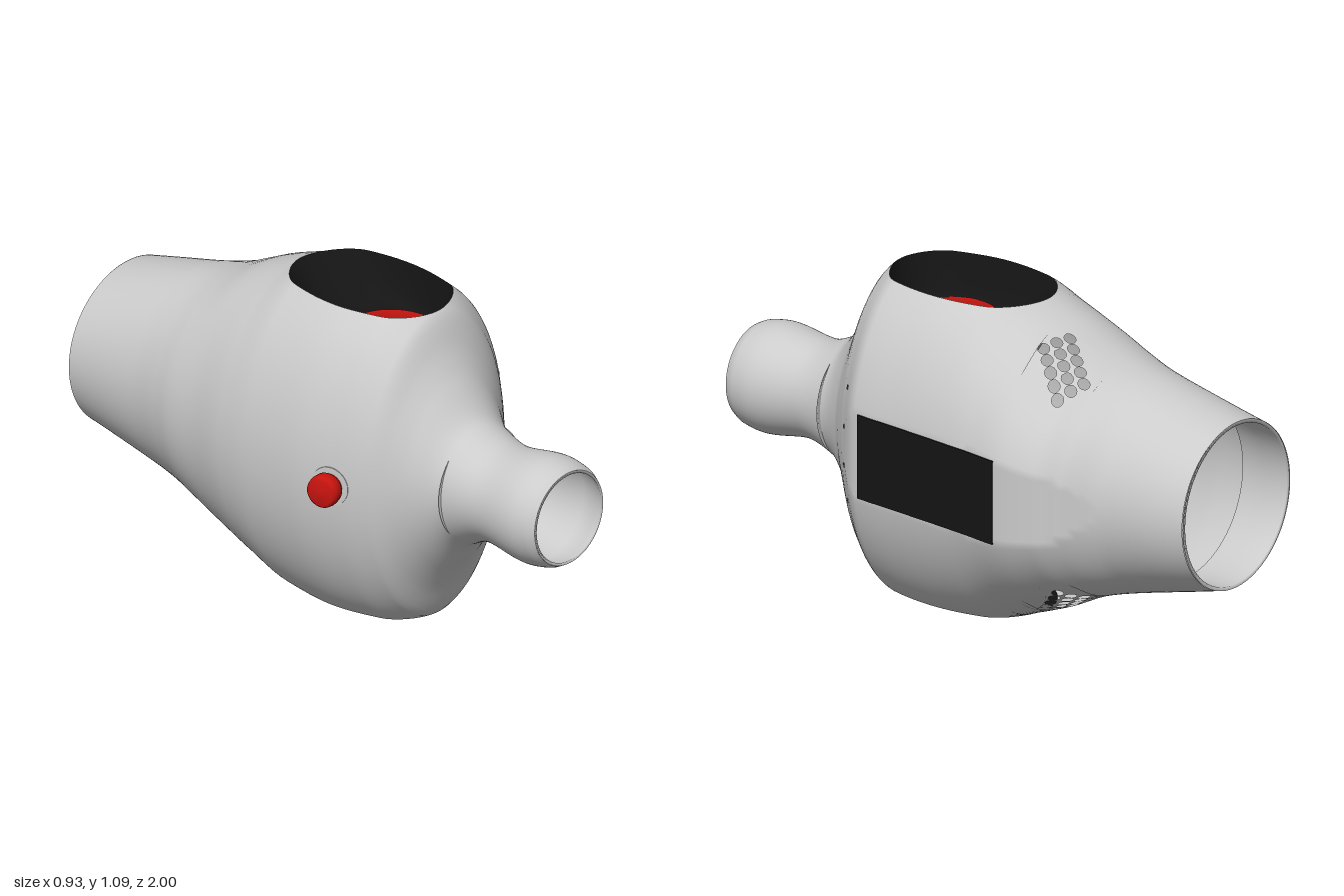
import * as THREE from 'three';

const CY = 0.547; // height of the main axis; all parts are built around y = 0
const mat = (color) => new THREE.MeshStandardMaterial({ color, side: THREE.DoubleSide });
const GREY = mat(0xcccccc), BLACK = mat(0x141414), RED = mat(0xc8140f);

// Cross-sections along the axis: z, centre x, right-hand min x, max x, half height, width factor before the flat side
const KEYS = [
  [-1, -.01, -.305, .285, .29, 1], [-.9, -.01, -.31, .305, .315, 1], [-.7, -.01, -.325, .335, .365, 1],
  [-.58, -.01, -.35, .405, .395, 1.03], [-.5, -.01, -.37, .445, .425, 1.05], [-.38, -.01, -.385, .46, .485, 1.05],
  [-.225, -.01, -.415, .44, .547, 1.04], [-.1, -.008, -.425, .425, .6, 1.03], [.1, -.008, -.42, .403, .625, 1.03],
  [.28, -.01, -.388, .383, .606, 1.03], [.385, -.016, -.353, .31, .547, 1], [.4, -.018, -.345, .295, .53, 1],
  [.45, -.027, -.31, .245, .42, 1], [.5, -.034, -.275, .195, .335, 1], [.6, -.037, -.225, .143, .215, 1],
  [.73, -.037, -.212, .13, .17, 1], [.9, -.037, -.228, .153, .19, 1], [.97, -.037, -.217, .143, .18, 1],
  [1, -.037, -.202, .128, .165, 1]];

// Monotone cubic interpolation of one column
function key(z, c) {
  z = Math.min(1, Math.max(-1, z));
  const n = KEYS.length;
  let i = 0;
  while (i < n - 2 && z > KEYS[i + 1][0]) i++;
  const d = (a) => (KEYS[a + 1][c] - KEYS[a][c]) / (KEYS[a + 1][0] - KEYS[a][0]);
  const slope = (a) => {
    if (a === 0) return d(0);
    if (a === n - 1) return d(n - 2);
    const p = d(a - 1), q = d(a);
    return p * q > 0 ? 2 * p * q / (p + q) : 0;
  };
  const h = KEYS[i + 1][0] - KEYS[i][0], t = (z - KEYS[i][0]) / h, t2 = t * t, t3 = t2 * t;
  return (2 * t3 - 3 * t2 + 1) * KEYS[i][c] + (t3 - 2 * t2 + t) * h * slope(i)
    + (3 * t2 - 2 * t3) * KEYS[i + 1][c] + (t3 - t2) * h * slope(i + 1);
}
const halfWidth = (z) => (key(z, 3) - key(z, 1)) * key(z, 5);
// Angle at which the section meets the flat cut of the finger openings
const cutAngle = (z) => Math.asin(Math.min(1, CY / key(z, 4)));

// Point on the shell
function shell(theta, z) {
  const c = Math.cos(theta), cx = key(z, 1);
  const x = c > 0 ? Math.min(cx + c * halfWidth(z), key(z, 3)) : cx + c * (cx - key(z, 2));
  return new THREE.Vector3(x, key(z, 4) * Math.sin(theta), z);
}
function shellNormal(theta, z) {
  const e = 0.004;
  const a = shell(theta + e, z).sub(shell(theta - e, z));
  const b = shell(theta, Math.min(1, z + e)).sub(shell(theta, Math.max(-1, z - e)));
  return a.cross(b).normalize();
}
// Geometry from (theta, z) pairs and faces
function onShell(params, index) {
  const pos = [], nor = [];
  for (const [th, z] of params) {
    pos.push(...shell(th, z).toArray());
    nor.push(...shellNormal(th, z).toArray());
  }
  const g = new THREE.BufferGeometry();
  g.setAttribute('position', new THREE.Float32BufferAttribute(pos, 3));
  g.setAttribute('normal', new THREE.Float32BufferAttribute(nor, 3));
  g.setIndex(index);
  return g;
}

const N = 48, VENT = { z0: -.56, z1: -.32, j0: 36, j1: 46 };
const OPEN = { mid: .08, half: .305 };

// Stations: even on neck and tail, cosine spaced along the openings
function stations() {
  const list = [];
  const span = (a, b, n) => { for (let i = 0; i < n; i++) list.push(a + (b - a) * i / n); };
  span(1, .385, 50);
  for (let i = 0; i < 40; i++) list.push(OPEN.mid + OPEN.half * Math.cos(Math.PI * i / 40));
  span(-.225, VENT.z1, 6);
  span(VENT.z1, VENT.z0, 14);
  span(VENT.z0, -1, 20);
  list.push(-1);
  return list;
}

// One side of the shell; the right side leaves two gaps for the vent patches
function shellSide(left) {
  const zs = stations(), params = [], index = [];
  zs.forEach((z, i) => {
    const m = cutAngle(z);
    for (let j = 0; j <= N; j++) params.push([(left ? Math.PI : 0) - m + 2 * m * j / N, z]);
    if (i === zs.length - 1) return;
    const inVent = z <= VENT.z1 + 1e-6 && zs[i + 1] >= VENT.z0 - 1e-6;
    for (let j = 0; j < N; j++) {
      const jj = Math.max(j, N - 1 - j);
      if (!left && inVent && jj >= VENT.j0 && jj < VENT.j1) continue;
      const a = i * (N + 1) + j, b = a + N + 1;
      index.push(a, b, a + 1, a + 1, b, b + 1);
    }
  });
  return onShell(params, index);
}

// Perforated patch, drawn flat in (theta, z) and laid on the shell
function ventPatch(sign) {
  const th = (j) => sign * (-Math.PI / 2 + Math.PI * j / N), edge = [];
  const { z0, z1, j0, j1 } = VENT, n = 14;
  for (let j = j0; j < j1; j++) edge.push(new THREE.Vector2(th(j), z0));
  for (let i = 0; i < n; i++) edge.push(new THREE.Vector2(th(j1), z0 + (z1 - z0) * i / n));
  for (let j = j1; j > j0; j--) edge.push(new THREE.Vector2(th(j), z1));
  for (let i = 0; i < n; i++) edge.push(new THREE.Vector2(th(j0), z1 + (z0 - z1) * i / n));
  const shape = new THREE.Shape(edge);
  for (let r = -1; r <= 1; r++) for (let s = -2; s <= 2; s++) {
    const hx = .185 + r * .048 - s * .026, hz = -.437 + r * .018 + s * .034, pts = [];
    for (let k = 0; k < 14; k++) {
      const a = k / 14 * Math.PI * 2, x = hx + .02 * Math.cos(a), z = hz + .02 * Math.sin(a);
      pts.push(new THREE.Vector2(sign * Math.acos((x - key(z, 1)) / halfWidth(z)), z));
    }
    shape.holes.push(new THREE.Path(pts));
  }
  const flat = new THREE.ShapeGeometry(shape), p = flat.attributes.position, params = [];
  for (let i = 0; i < p.count; i++) params.push([p.getX(i), p.getY(i)]);
  return onShell(params, Array.from(flat.index.array));
}

// Bowl from the oval rim down to the round finger hole
function funnel() {
  const M = 80, R = 8, pos = [], index = [];
  for (let r = 0; r <= R; r++) for (let i = 0; i < M; i++) {
    const s = r / R, a = i / M * Math.PI * 2, z = OPEN.mid + OPEN.half * Math.cos(a), m = cutAngle(z);
    const rim = shell(Math.sin(a) >= 0 ? m : Math.PI - m, z);
    const hole = new THREE.Vector3(.15 * Math.sin(a), 0, .165 + .15 * Math.cos(a));
    pos.push(rim.x + (hole.x - rim.x) * s, rim.y - .145 * Math.sin(s * Math.PI / 2), rim.z + (hole.z - rim.z) * s);
    if (r < R) {
      const p = r * M + i, q = r * M + (i + 1) % M;
      index.push(p, q, p + M, q, q + M, p + M);
    }
  }
  const g = new THREE.BufferGeometry();
  g.setAttribute('position', new THREE.Float32BufferAttribute(pos, 3));
  g.setIndex(index);
  g.computeVertexNormals();
  return g;
}

const lathe = (pts) => new THREE.LatheGeometry(pts.map(([r, y]) => new THREE.Vector2(r, y)), 64);

export function createModel() {
  const model = new THREE.Group(), core = new THREE.Group();
  core.position.y = CY;
  core.name = 'device';
  model.add(core);
  const add = (name, geo, material, parent = core) => {
    const m = new THREE.Mesh(geo, material);
    m.name = name;
    parent.add(m);
    return m;
  };

  // Hollow shell
  add('shellLeftSide', shellSide(false), GREY);
  add('shellRightSide', shellSide(true), GREY);
  add('upperVent', ventPatch(1), GREY);
  add('lowerVent', ventPatch(-1), GREY);

  // Linings of both open ends
  const neck = add('neckLining', lathe([[.165, 1], [.155, 1], [.172, .96], [.178, .9], [.157, .74], [.157, .68],
    [.14, .68], [.14, .6], [.2, .6]]), GREY);
  neck.rotation.x = Math.PI / 2;
  neck.position.x = -.037;
  const tail = add('tailLining', lathe([[.291, -1], [.278, -1], [.285, -.9], [.3, -.8]]), GREY);
  tail.rotation.x = Math.PI / 2;
  tail.position.x = -.01;

  // Finger openings above and below
  for (const side of [1, -1]) {
    const opening = new THREE.Group();
    opening.name = side > 0 ? 'upperOpening' : 'lowerOpening';
    opening.scale.y = side;
    core.add(opening);
    add('funnel', funnel(), BLACK, opening);
    const ring = add('holeRing', lathe([[.152, .407], [.138, .405], [.138, .345], [.152, .345], [.152, .407]]),
      side > 0 ? RED : GREY, opening);
    ring.position.z = .165;
  }

  // Screen following the flat side
  const screen = new THREE.BoxGeometry(.006, .294, .61, 1, 1, 24).translate(0, 0, -.045);
  const sp = screen.attributes.position;
  for (let i = 0; i < sp.count; i++) sp.setX(i, sp.getX(i) + key(sp.getZ(i), 3) + .001);
  screen.computeVertexNormals();
  add('screen', screen, BLACK);

  // Side knob on its collar
  const knob = new THREE.Group();
  knob.name = 'knob';
  knob.position.set(-.385, 0, .255);
  knob.rotation.set(0, .25, Math.PI / 2);
  core.add(knob);
  add('collar', new THREE.CylinderGeometry(.068, .068, .02, 40), GREY, knob);
  add('cap', lathe([[.046, -.01], [.046, .02], [.055, .026], [.057, .05], [.054, .066], [.044, .075], [0, .078]]), RED, knob);

  // Row of small screws beside the screen
  for (const y of [-.2, -.068, .068, .2]) {
    const th = Math.asin(y / key(.355, 4));
    const screw = add('screw', new THREE.CylinderGeometry(.008, .008, .004, 12), mat(0x666666));
    screw.position.copy(shell(th, .355));
    screw.quaternion.setFromUnitVectors(new THREE.Vector3(0, 1, 0), shellNormal(th, .355));
  }

  // Inner electronics on a post
  add('innerBox', new THREE.BoxGeometry(.2, .09, .24), BLACK).position.set(.03, -.18, -.48);
  add('innerPost', new THREE.BoxGeometry(.06, .17, .06), BLACK).position.set(.03, -.3, -.55);
  return model;
}
